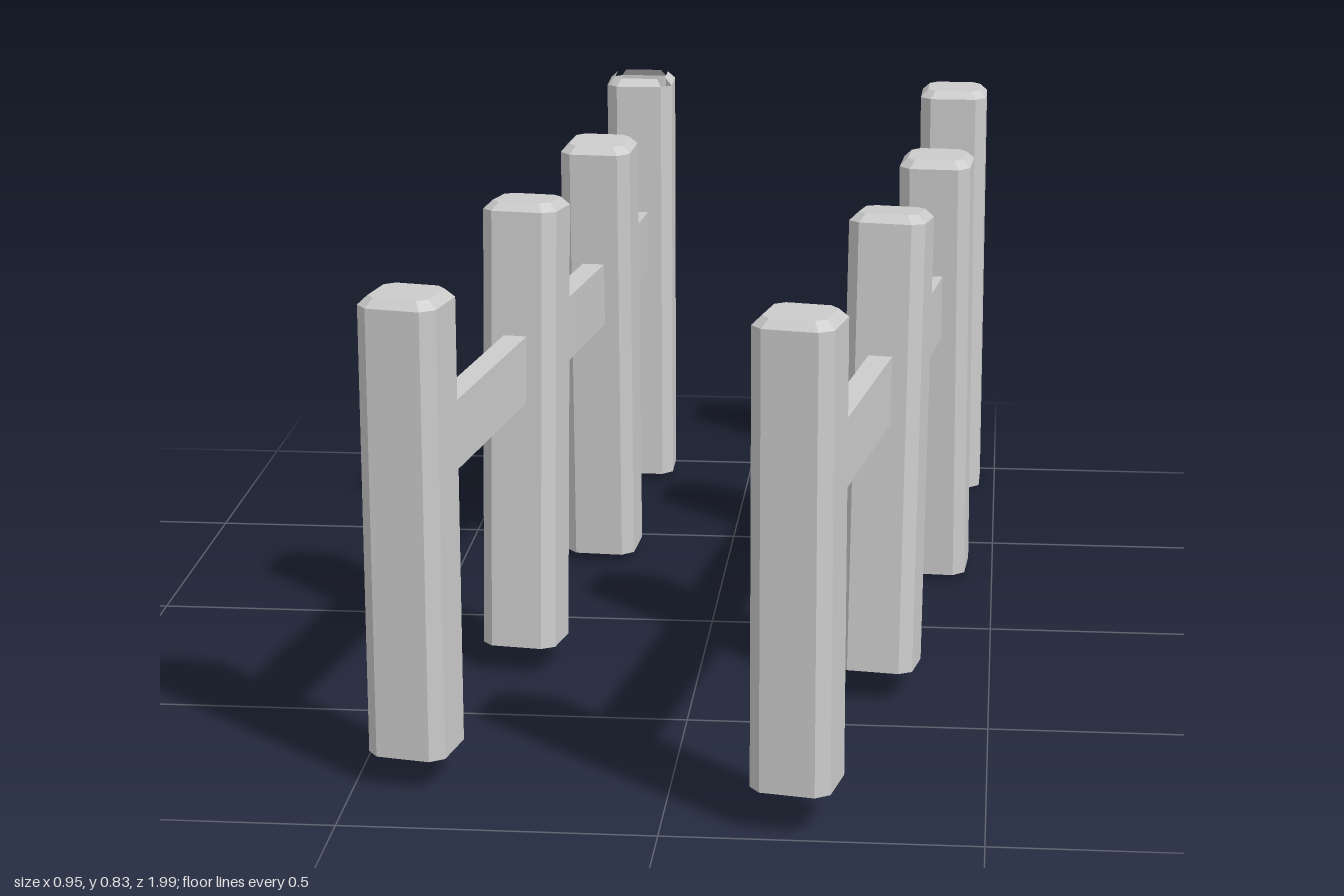
import * as THREE from 'three';

const W = 0.128, CHAMFER = 0.02, BEVEL = 0.014;
const material = new THREE.MeshStandardMaterial({ color: 0xcccccc, flatShading: true, side: THREE.DoubleSide });

// Eight-sided outline of a square with cut corners
function outline(width, cut, y) {
  const h = width / 2, k = h - cut;
  return [[h, -k], [h, k], [k, h], [-k, h], [-h, k], [-h, -k], [-k, -h], [k, -h]]
    .map(([x, z]) => new THREE.Vector3(x, y, z));
}

// Post body: flat foot, upright walls, bevelled top; a hollow one has no cap or corner bevels
function postGeometry(length, hollow) {
  const foot = outline(W, CHAMFER, -length / 2);
  const shoulder = outline(W, CHAMFER, length / 2 - BEVEL);
  const crown = outline(W - 2 * BEVEL, CHAMFER * 0.75, length / 2);
  const pos = [];
  const tri = (...pts) => pts.forEach((p) => pos.push(p.x, p.y, p.z));
  const band = (a, b, i) => {
    const j = (i + 1) % 8;
    tri(a[i], b[i], b[j]);
    tri(a[i], b[j], a[j]);
  };
  for (let i = 0; i < 8; i++) {
    band(foot, shoulder, i);
    if (!hollow || i % 2 === 0) band(shoulder, crown, i);
  }
  for (let i = 1; i < 7; i++) {
    tri(foot[0], foot[i], foot[i + 1]);
    if (!hollow) tri(crown[0], crown[i + 1], crown[i]);
  }
  const geo = new THREE.BufferGeometry();
  geo.setAttribute('position', new THREE.Float32BufferAttribute(pos, 3));
  geo.computeVertexNormals();
  return geo;
}

// Post standing between a foot point and a top point, turned about its own axis
function makePost({ foot, top, turn, hollow }) {
  const a = new THREE.Vector3(...foot), b = new THREE.Vector3(...top);
  const axis = b.clone().sub(a);
  const post = new THREE.Mesh(postGeometry(axis.length(), hollow), material);
  post.position.copy(a).add(b).multiplyScalar(0.5);
  const yaw = new THREE.Quaternion().setFromAxisAngle(new THREE.Vector3(0, 1, 0), THREE.MathUtils.degToRad(turn));
  post.quaternion.setFromUnitVectors(new THREE.Vector3(0, 1, 0), axis.normalize()).multiply(yaw);
  post.name = hollow ? 'hollowPost' : 'post';
  return post;
}

// Rail bar joining two posts
function makeRail(a, b) {
  const rail = new THREE.Mesh(new THREE.BoxGeometry(0.04, 0.115, a.distanceTo(b)), material);
  rail.position.copy(a).add(b).multiplyScalar(0.5);
  rail.lookAt(b);
  rail.name = 'rail';
  return rail;
}

// Height of the rail at each post, back to front
const railHeights = [0.498, 0.525, 0.54, 0.518];

const rows = {
  rightFence: [
    { foot: [-0.22, 0.012, -0.93], top: [-0.22, 0.826, -0.93], turn: 1, hollow: true },
    { foot: [-0.238, 0.018, -0.388], top: [-0.24, 0.806, -0.365], turn: -4 },
    { foot: [-0.305, 0.045, 0.238], top: [-0.3, 0.817, 0.19], turn: -8 },
    { foot: [-0.407, 0.054, 0.787], top: [-0.406, 0.8, 0.792], turn: -11 },
  ],
  leftFence: [
    { foot: [0.406, 0.001, -0.925], top: [0.404, 0.812, -0.924], turn: -1 },
    { foot: [0.388, 0.011, -0.337], top: [0.384, 0.798, -0.325], turn: -4 },
    { foot: [0.313, 0.05, 0.328], top: [0.322, 0.825, 0.267], turn: -8 },
    { foot: [0.209, 0.069, 0.925], top: [0.209, 0.815, 0.924], turn: -11 },
  ],
};

export function createModel() {
  const model = new THREE.Group();
  model.name = 'fences';
  for (const [name, posts] of Object.entries(rows)) {
    const row = new THREE.Group();
    row.name = name;
    // Where each post's axis meets the rail
    const joints = posts.map(({ foot, top }, i) => {
      const t = (railHeights[i] - foot[1]) / (top[1] - foot[1]);
      return new THREE.Vector3(...foot).lerp(new THREE.Vector3(...top), t);
    });
    posts.forEach((p, i) => {
      row.add(makePost(p));
      if (i > 0) row.add(makeRail(joints[i - 1], joints[i]));
    });
    model.add(row);
  }
  return model;
}
